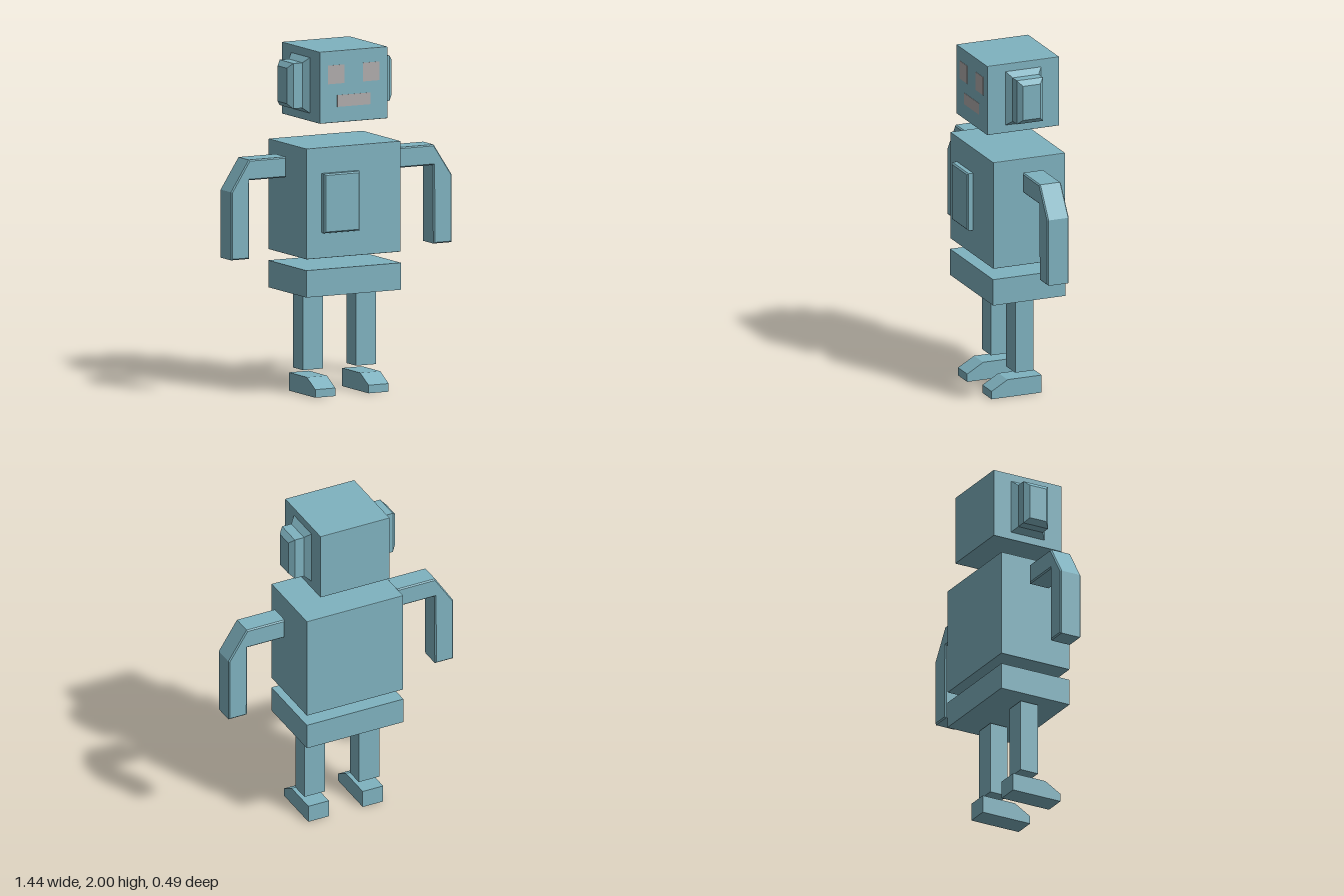
import * as THREE from 'three';
import { RoundedBoxGeometry } from 'three/addons/geometries/RoundedBoxGeometry.js';

const MID = -0.008; // mirror plane of head, body and legs

export function createModel() {
  const robot = new THREE.Group();
  robot.name = 'robot';
  const blue = new THREE.MeshStandardMaterial({ color: 0x7fb2bf, flatShading: true });
  const grey = new THREE.MeshStandardMaterial({ color: 0xb0acac, flatShading: true });

  const add = (name, geometry, material = blue) => {
    const mesh = new THREE.Mesh(geometry, material);
    mesh.name = name;
    robot.add(mesh);
    return mesh;
  };

  // Box from its limits, optionally with a fine edge bevel
  const box = (name, [x0, x1], [y0, y1], [z0, z1], bevel = 0, material = blue) => {
    const size = [x1 - x0, y1 - y0, z1 - z0];
    const geometry = bevel ? new RoundedBoxGeometry(...size, 1, bevel) : new THREE.BoxGeometry(...size);
    add(name, geometry, material).position.set((x0 + x1) / 2, (y0 + y1) / 2, (z0 + z1) / 2);
  };

  const outline = (points) => new THREE.Shape(points.map(([x, y]) => new THREE.Vector2(x, y)));

  // Head, torso and pelvis
  const depth = [-0.243, 0.207];
  box('head', [-0.23, 0.214], [1.585, 2], depth, 0.004);
  box('torso', [-0.317, 0.301], [0.807, 1.447], depth, 0.004);
  box('pelvis', [-0.317, 0.301], [0.587, 0.743], depth);

  // Face, almost flush with the head
  const face = [0.2, 0.2085];
  box('rightEye', [-0.175, -0.069], [1.81, 1.918], face, 0, grey);
  box('leftEye', [0.053, 0.161], [1.81, 1.918], face, 0, grey);
  box('mouth', [-0.116, 0.1], [1.675, 1.743], face, 0, grey);

  // Chest panel with a bevelled front edge
  const b = 0.008;
  const panel = new THREE.ExtrudeGeometry(
    outline([[-0.217 + b, 0.955 + b], [0.015 - b, 0.955 + b], [0.015 - b, 1.298 - b], [-0.217 + b, 1.298 - b]]),
    { depth: 0.03, bevelSize: b, bevelThickness: b, bevelSegments: 1 });
  add('chestPanel', panel).position.z = 0.205;

  // Ears: rectangular sections [distance, yMin, yMax, zMin, zMax] outwards from the head
  const sections = [
    [0.22, 1.63, 1.955, -0.131, 0.094],
    [0.255, 1.66, 1.922, -0.1, 0.062],
    [0.314, 1.66, 1.922, -0.1, 0.062],
    [0.342, 1.688, 1.893, -0.073, 0.035],
  ];
  const earGeometry = (side) => {
    const positions = [];
    const index = [];
    for (const [d, y0, y1, z0, z1] of sections) {
      const x = MID + side * d;
      positions.push(x, y0, z0, x, y1, z0, x, y1, z1, x, y0, z1);
    }
    const quad = (p, q, r, s) => index.push(...(side > 0 ? [p, q, r, p, r, s] : [p, r, q, p, s, r]));
    for (let i = 0; i < sections.length - 1; i++) {
      for (let k = 0; k < 4; k++) {
        const a = i * 4 + k;
        const c = i * 4 + (k + 1) % 4;
        quad(a, c, c + 4, a + 4);
      }
    }
    const end = (sections.length - 1) * 4;
    quad(end, end + 1, end + 2, end + 3);
    quad(3, 2, 1, 0);
    const geometry = new THREE.BufferGeometry();
    geometry.setAttribute('position', new THREE.Float32BufferAttribute(positions, 3));
    geometry.setIndex(index);
    const flat = geometry.toNonIndexed();
    flat.computeVertexNormals();
    return flat;
  };

  // Arm outline seen from the front, inset by the bevel; the sideways flip is its own mirror
  const e = 0.007;
  const armGeometry = (side) => {
    const points = [
      [0.36 + e, 1.265 + e], [0.6 + e, 1.265 + e], [0.602 + e, 0.81 + e], [0.72 - e, 0.81 + e],
      [0.72 - e, 1.205 - e / 2], [0.603 - e / 2, 1.383 - e], [0.36 + e, 1.383 - e],
    ].map(([x, y]) => [x * side, y]);
    const geometry = new THREE.ExtrudeGeometry(outline(points),
      { depth: 0.135 - 2 * e, bevelSize: e, bevelThickness: e, bevelSegments: 1 });
    return geometry.translate(0, 0, -0.084 + e);
  };

  // Foot side profile (z, y) with a sloping toe, extruded across the width
  const footGeometry = new THREE.ExtrudeGeometry(
    outline([[-0.125, 0], [0.187, 0], [0.187, 0.047], [0.087, 0.105], [-0.125, 0.105]]),
    { depth: 0.131, bevelEnabled: false });
  footGeometry.rotateY(-Math.PI / 2).translate(0.0655, 0, 0);

  for (const [prefix, side] of [['left', 1], ['right', -1]]) {
    const x = MID + side * 0.174;
    add(prefix + 'Ear', earGeometry(side));
    add(prefix + 'Arm', armGeometry(side));
    box(prefix + 'Leg', [x - 0.0655, x + 0.0655], [0.14, 0.573], [-0.075, 0.039]);
    add(prefix + 'Foot', footGeometry).position.x = x;
  }
  return robot;
}
